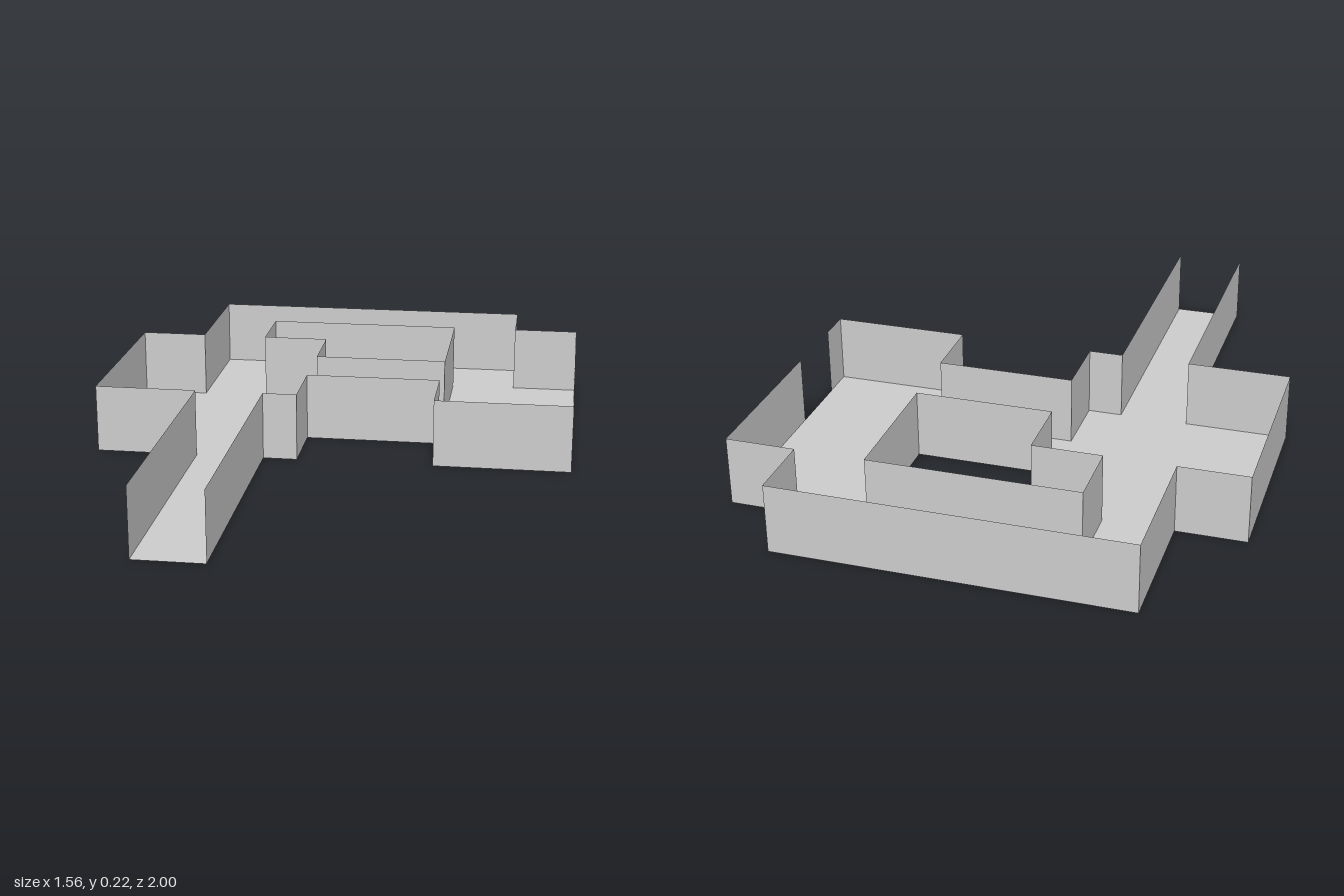
import * as THREE from 'three';

// One grid cell; every corner of the plan lies on a multiple of half a cell.
const CELL = 2 / 9;

// Floor plan corners [x, z] in cells. The outline starts and ends at the open corridor mouth.
const OUTLINE = [
  [-1, 4.5], [-1, 0.5], [-0.5, 0.5], [-0.5, -0.5], [1.5, -0.5], [1.5, 0.5], [3.5, 0.5],
  [3.5, 0], [3.5, -1], // doorway between these two corners
  [3.5, -3.5], [2.5, -3.5], [2.5, -4.5], [-2.5, -4.5], [-2.5, -2.5], [-3.5, -2.5],
  [-3.5, 0.5], [-2, 0.5], [-2, 4.5],
];
const DOORWAY = 7;
const COURT = [
  [-1.5, -3.5], [1.5, -3.5], [1.5, -1.5], [-0.5, -1.5], [-0.5, -2.5], [-1.5, -2.5], [-1.5, -3.5],
];

export function createModel() {
  const model = new THREE.Group();
  model.name = 'dungeonRooms';
  const stone = new THREE.MeshStandardMaterial({ color: 0xcccccc, side: THREE.DoubleSide });
  stone.name = 'light grey stone';

  // Floor sheet with the courtyard cut out
  const toPlan = ([x, z]) => new THREE.Vector2(x * CELL, -z * CELL);
  const plan = new THREE.Shape(OUTLINE.map(toPlan));
  plan.holes.push(new THREE.Path(COURT.map(toPlan)));
  const floor = new THREE.Mesh(new THREE.ShapeGeometry(plan).rotateX(-Math.PI / 2), stone);
  floor.name = 'floor';
  model.add(floor);

  // Thin upright wall panels along a run of corners
  function addWalls(name, points, skip = -1) {
    const walls = new THREE.Group();
    walls.name = name;
    for (let i = 0; i < points.length - 1; i++) {
      if (i === skip) continue;
      const [x0, z0] = points[i];
      const [x1, z1] = points[i + 1];
      const length = Math.hypot(x1 - x0, z1 - z0) * CELL;
      const panel = new THREE.Mesh(new THREE.PlaneGeometry(length, CELL), stone);
      panel.name = 'wallPanel';
      panel.position.set((x0 + x1) / 2 * CELL, CELL / 2, (z0 + z1) / 2 * CELL);
      panel.rotation.y = Math.atan2(z0 - z1, x1 - x0);
      walls.add(panel);
    }
    model.add(walls);
  }
  addWalls('outerWalls', OUTLINE, DOORWAY);
  addWalls('courtyardWalls', COURT);

  return model;
}
